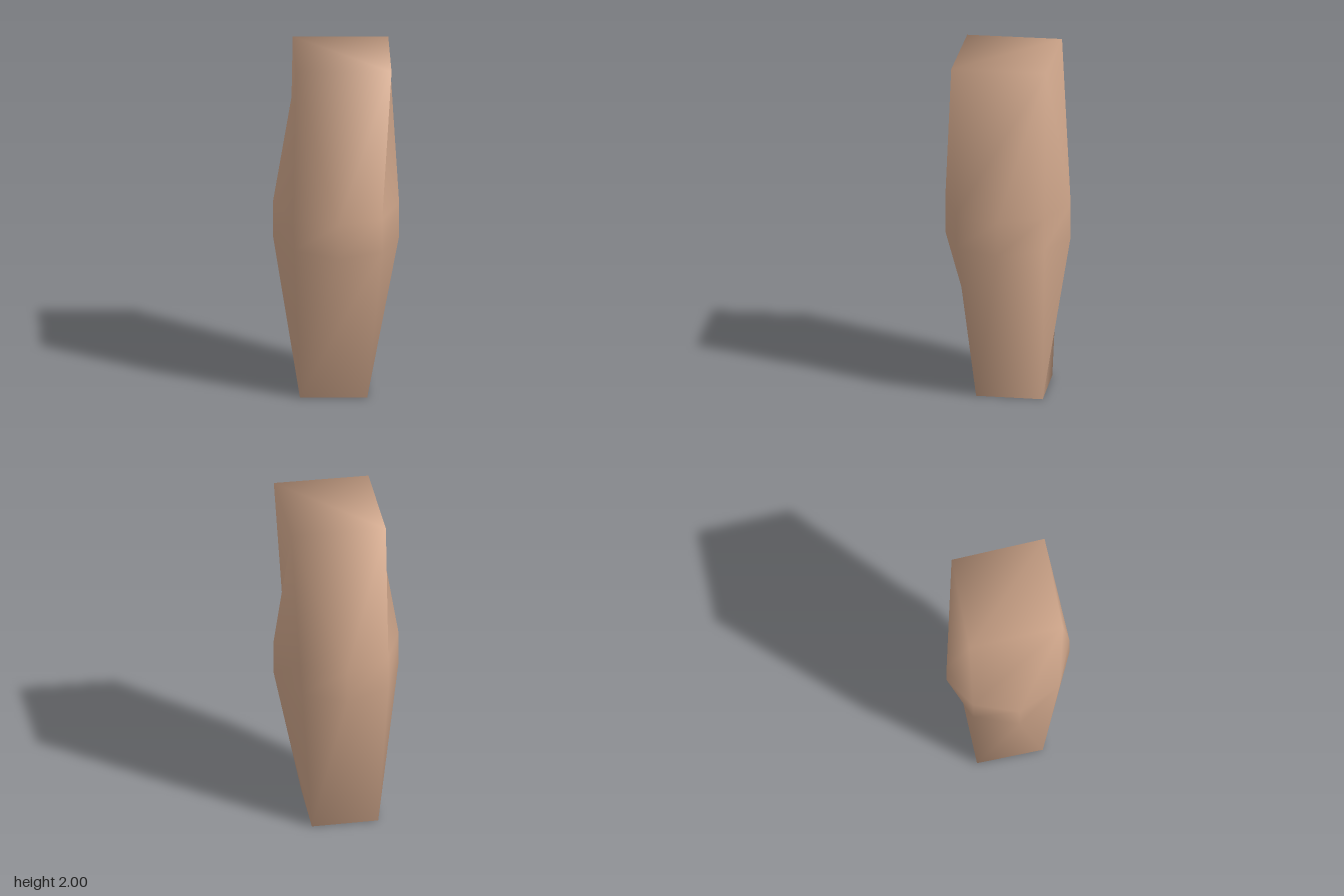
import * as THREE from 'three';

const skin = new THREE.MeshStandardMaterial({ color: 0xd4aa8e });
skin.name = 'skin';

// Ring of points around the y axis, starting at +x and turning towards +z
function ring(count, y, cx, cz, rx, rz) {
  return Array.from({ length: count }, (_, k) => {
    const a = (k / count) * Math.PI * 2;
    return new THREE.Vector3(cx + rx * Math.cos(a), y, cz + rz * Math.sin(a));
  });
}

function limbGeometry() {
  // Square ends joined by an eight-sided middle band
  const top = ring(4, 2, 0, 0, 0.385, 0.368);
  const upper = ring(8, 1.11, -0.026, 0.0225, 0.36, 0.3435);
  const lower = ring(8, 0.91, -0.026, 0.0225, 0.36, 0.3435);
  const bottom = ring(4, 0, -0.06, 0.01, 0.265, 0.265);

  // Front and back of the band run straight down to the bottom corners
  for (const [k, b] of [[2, 1], [6, 3]]) {
    lower[k].lerpVectors(upper[k], bottom[b], (1.11 - 0.91) / 1.11);
  }

  const points = [...top, ...upper, ...lower, ...bottom];
  const index = [];
  const T = (k) => k % 4;
  const U = (k) => 4 + (k % 8);
  const L = (k) => 12 + (k % 8);
  const B = (k) => 20 + (k % 4);

  // Fill a polygon with triangles that all meet at one of its corners
  function fan(loop, start) {
    const n = loop.length;
    for (let i = 1; i < n - 1; i++) {
      index.push(loop[start], loop[(start + i) % n], loop[(start + i + 1) % n]);
    }
  }

  for (let s = 0; s < 4; s++) {
    const k = s * 2;
    const even = s % 2 === 0;
    // Alternating corners are hollow, which gives the twisted look
    fan([T(s), T(s + 1), U(k + 2), U(k + 1), U(k)], even ? 3 : 0);
    fan([L(k), L(k + 1), L(k + 2), B(s + 1), B(s)], even ? 3 : 1);
  }
  // Middle band
  for (let k = 0; k < 8; k++) fan([U(k), U(k + 1), L(k + 1), L(k)], 0);
  // End caps
  fan([T(0), T(3), T(2), T(1)], 0);
  fan([B(0), B(1), B(2), B(3)], 0);

  const geometry = new THREE.BufferGeometry().setFromPoints(points);
  geometry.setIndex(index);
  geometry.computeVertexNormals();
  return geometry;
}

export function createModel() {
  const model = new THREE.Group();
  model.name = 'limbSegment';
  const limb = new THREE.Mesh(limbGeometry(), skin);
  limb.name = 'limb';
  model.add(limb);
  return model;
}
